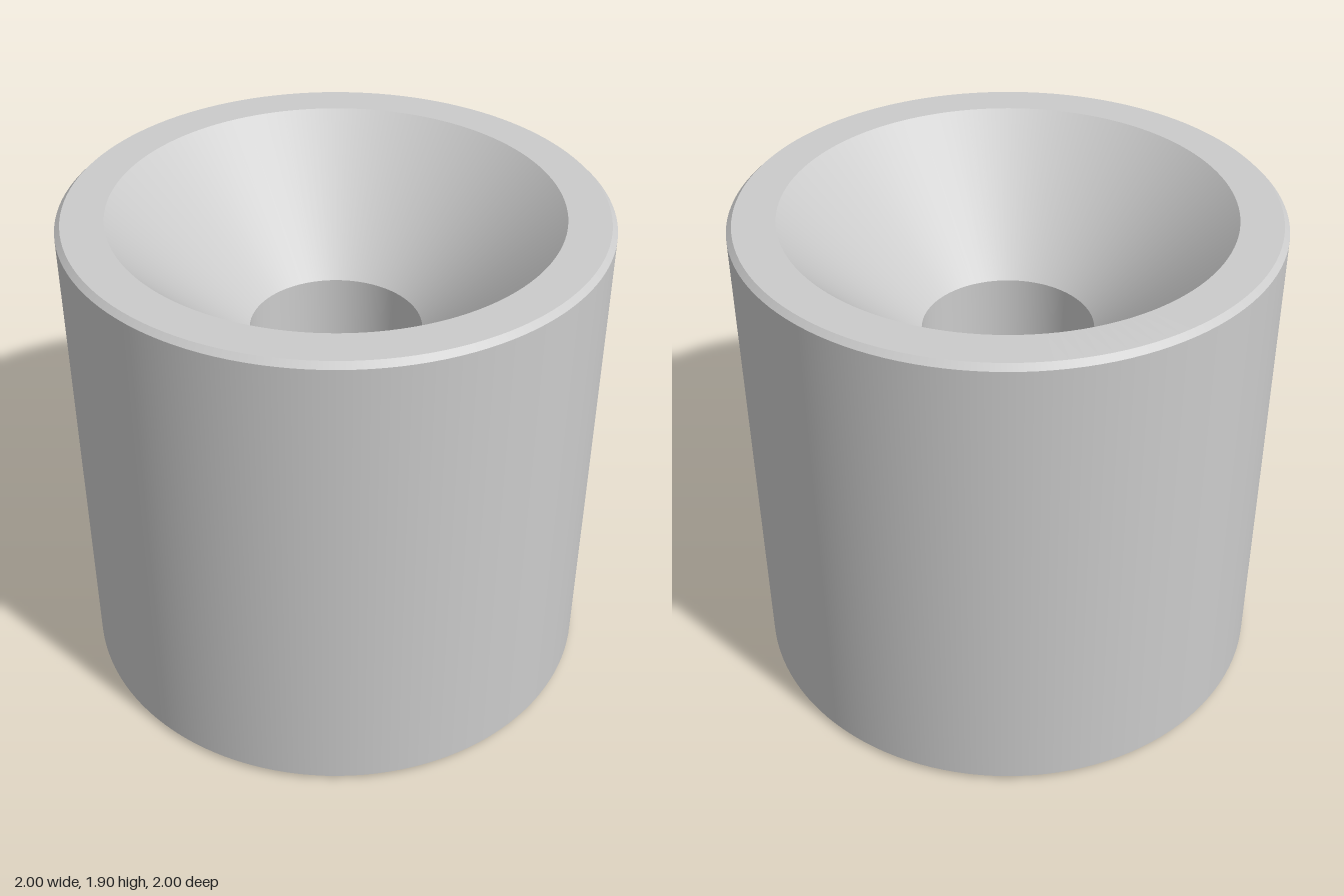
import * as THREE from 'three';

export function createModel() {
  const group = new THREE.Group();
  group.name = 'countersunkBush';
  const material = new THREE.MeshStandardMaterial({ color: 0xcccccc });

  const height = 1.9, radius = 1, bore = 0.325, mouth = 0.825, bevel = 0.02;
  const coneBottom = height - (mouth - bore); // 45 degree countersink

  // Closed profile [name, radius, y]; each name labels the surface that starts there
  const profile = [
    ['bottomFace', bore + bevel, 0],
    ['bottomBevel', radius - bevel, 0],
    ['outerWall', radius, bevel],
    ['topBevel', radius, height - bevel],
    ['topRim', radius - bevel, height],
    ['countersink', mouth, height],
    ['boreWall', bore, coneBottom],
    ['boreBevel', bore, bevel],
  ];

  // One lathe per surface keeps the edges between them sharp
  profile.forEach(([name, r, y], i) => {
    const [, r2, y2] = profile[(i + 1) % profile.length];
    const points = [new THREE.Vector2(r, y), new THREE.Vector2(r2, y2)];
    const mesh = new THREE.Mesh(new THREE.LatheGeometry(points, 128), material);
    mesh.name = name;
    group.add(mesh);
  });

  return group;
}
